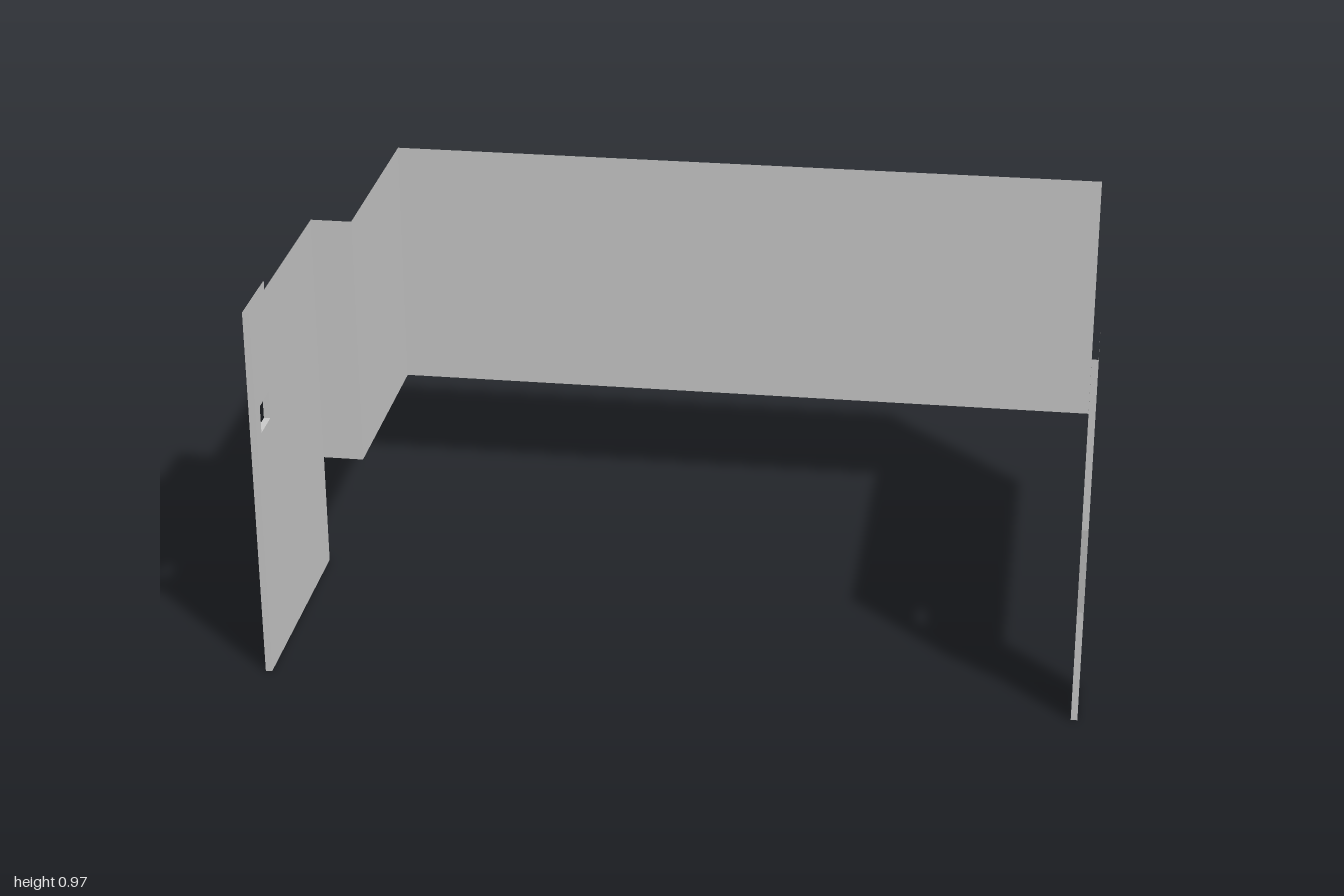
import * as THREE from 'three';

const OUT = 1, IN = 0.984;               // outer and inner sheet planes
const TOP = 0.967, LOW = 0.302;          // wall top and bottom edge
const FRONT = 0.567, BACK = -0.567, FLAP = 0.369, STEP = -0.03, JOG = 0.88;

const material = new THREE.MeshStandardMaterial({ color: 0xcccccc, side: THREE.DoubleSide, flatShading: true });

export function createModel() {
  const model = new THREE.Group();

  const add = (name, geometry) => {
    const mesh = new THREE.Mesh(geometry, material);
    mesh.name = name;
    model.add(mesh);
    return mesh;
  };

  // Flat sheet in a plane of constant x; outline points are [z, y]
  const sheet = (name, x, outline, hole) => {
    const shape = new THREE.Shape(outline.map(p => new THREE.Vector2(...p)));
    if (hole) shape.holes.push(new THREE.Path(hole.map(p => new THREE.Vector2(...p))));
    add(name, new THREE.ShapeGeometry(shape).rotateY(-Math.PI / 2).translate(x, 0, 0));
  };

  // Narrow band following [z, y] points, joining two planes of constant x
  const band = (name, x0, x1, points) => {
    const pos = [];
    for (let i = 0; i + 1 < points.length; i++) {
      const [za, ya] = points[i], [zb, yb] = points[i + 1];
      pos.push(x0, ya, za, x1, ya, za, x1, yb, zb, x0, ya, za, x1, yb, zb, x0, yb, zb);
    }
    const g = new THREE.BufferGeometry();
    g.setAttribute('position', new THREE.Float32BufferAttribute(pos, 3));
    g.computeVertexNormals();
    add(name, g);
  };

  const rect = (z0, z1, y0, y1) => [[z0, y0], [z1, y0], [z1, y1], [z0, y1]];

  // Back wall
  add('backWall', new THREE.PlaneGeometry(JOG + IN, TOP - LOW)
    .translate((IN - JOG) / 2, (TOP + LOW) / 2, BACK));

  // Left side: wall with a tapered front leg, folded over at the front
  const taper = [[0.535, 0], [0.535, 0.295], [FRONT, 0.53], [FRONT, TOP]];
  const leftHole = rect(0.421, 0.507, 0.635, 0.705);
  sheet('leftWall', IN, [[BACK, LOW], [FLAP, LOW], [FLAP, 0], ...taper, [BACK, TOP]], leftHole);
  sheet('leftFlap', OUT, [[FLAP, 0], ...taper, [FLAP, TOP]], leftHole);
  band('leftFold', IN, OUT, taper);
  band('leftWindowRim', IN, OUT, [...leftHole, leftHole[0]]);

  // Right side: inset rear wall, step, then a tall front panel with its fold
  const rightHole = rect(0.442, 0.525, 0.635, 0.705);
  sheet('rightRearWall', -JOG, rect(BACK, STEP, LOW, TOP));
  add('rightStep', new THREE.PlaneGeometry(IN - JOG, TOP - LOW)
    .translate(-(IN + JOG) / 2, (TOP + LOW) / 2, STEP));
  sheet('rightFrontPanel', -IN, rect(STEP, FRONT, 0, TOP), rightHole);
  sheet('rightFlap', -OUT, rect(FLAP, FRONT, 0, TOP), rightHole);
  band('rightFold', -OUT, -IN, [[FRONT, 0], [FRONT, TOP]]);
  band('rightWindowRim', -OUT, -IN, [...rightHole, rightHole[0]]);

  return model;
}
